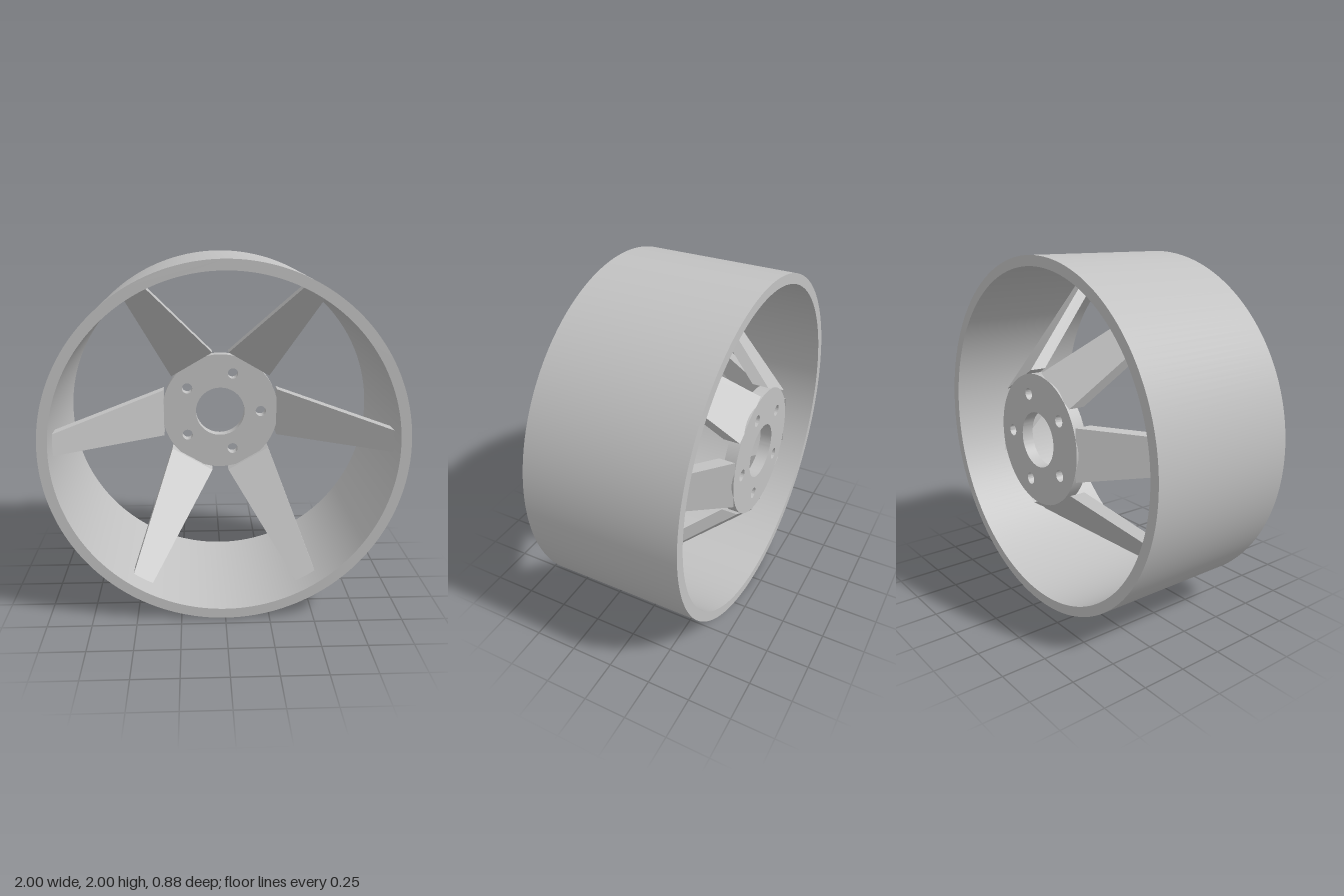
import * as THREE from 'three';
import { toCreasedNormals } from 'three/addons/utils/BufferGeometryUtils.js';

const HALF_WIDTH = 0.442;

// Flat disc with round holes, given as [x, y, radius], running from z0 to z1
function piercedDisc(radius, holes, z0, z1, segments) {
  const shape = new THREE.Shape().absarc(0, 0, radius, 0, Math.PI * 2);
  for (const [x, y, r] of holes) {
    shape.holes.push(new THREE.Path().absarc(x, y, r, 0, Math.PI * 2, true));
  }
  const geometry = new THREE.ExtrudeGeometry(shape, {
    depth: z1 - z0, bevelEnabled: false, curveSegments: segments,
  });
  geometry.translate(0, 0, z0);
  return toCreasedNormals(geometry, 0.6);
}

// Tapered blade along +x, sheared forward from the hub to the rim
function spokeGeometry() {
  const geometry = new THREE.BoxGeometry(1, 1, 1);
  const p = geometry.attributes.position;
  const lerp = THREE.MathUtils.lerp;
  for (let i = 0; i < p.count; i++) {
    const t = p.getX(i) + 0.5;
    const side = p.getY(i) * 2;
    const front = p.getZ(i) + 0.5;
    p.setXYZ(i,
      lerp(0.36, 0.943, t),
      side * lerp(0.148, 0.062, t),
      lerp(-HALF_WIDTH, 0.212, t) + front * 0.093);
  }
  geometry.computeVertexNormals();
  return geometry;
}

export function createModel() {
  const model = new THREE.Group();
  model.name = 'wheel';
  const metal = new THREE.MeshStandardMaterial({ color: 0xc2c2c2 });
  metal.name = 'grey metal';

  const wheel = new THREE.Group();
  wheel.name = 'wheelBody';
  wheel.position.y = 1;
  model.add(wheel);

  const add = (name, geometry) => {
    const mesh = new THREE.Mesh(geometry, metal);
    mesh.name = name;
    wheel.add(mesh);
    return mesh;
  };

  // Wide outer rim
  add('rim', piercedDisc(1, [[0, 0, 0.943]], -HALF_WIDTH, HALF_WIDTH, 96));

  // Hub plate at the back with a centre bore and five bolt holes
  const holes = [[0, 0, 0.156]];
  for (let i = 0; i < 5; i++) {
    const a = (i / 5) * Math.PI * 2;
    holes.push([0.26 * Math.cos(a), 0.26 * Math.sin(a), 0.033]);
  }
  add('hub', piercedDisc(0.37, holes, -HALF_WIDTH, -0.375, 48));

  // Six spokes
  const blade = spokeGeometry();
  for (let i = 0; i < 6; i++) {
    add('spoke' + (i + 1), blade).rotation.z = (i * Math.PI) / 3;
  }
  return model;
}
